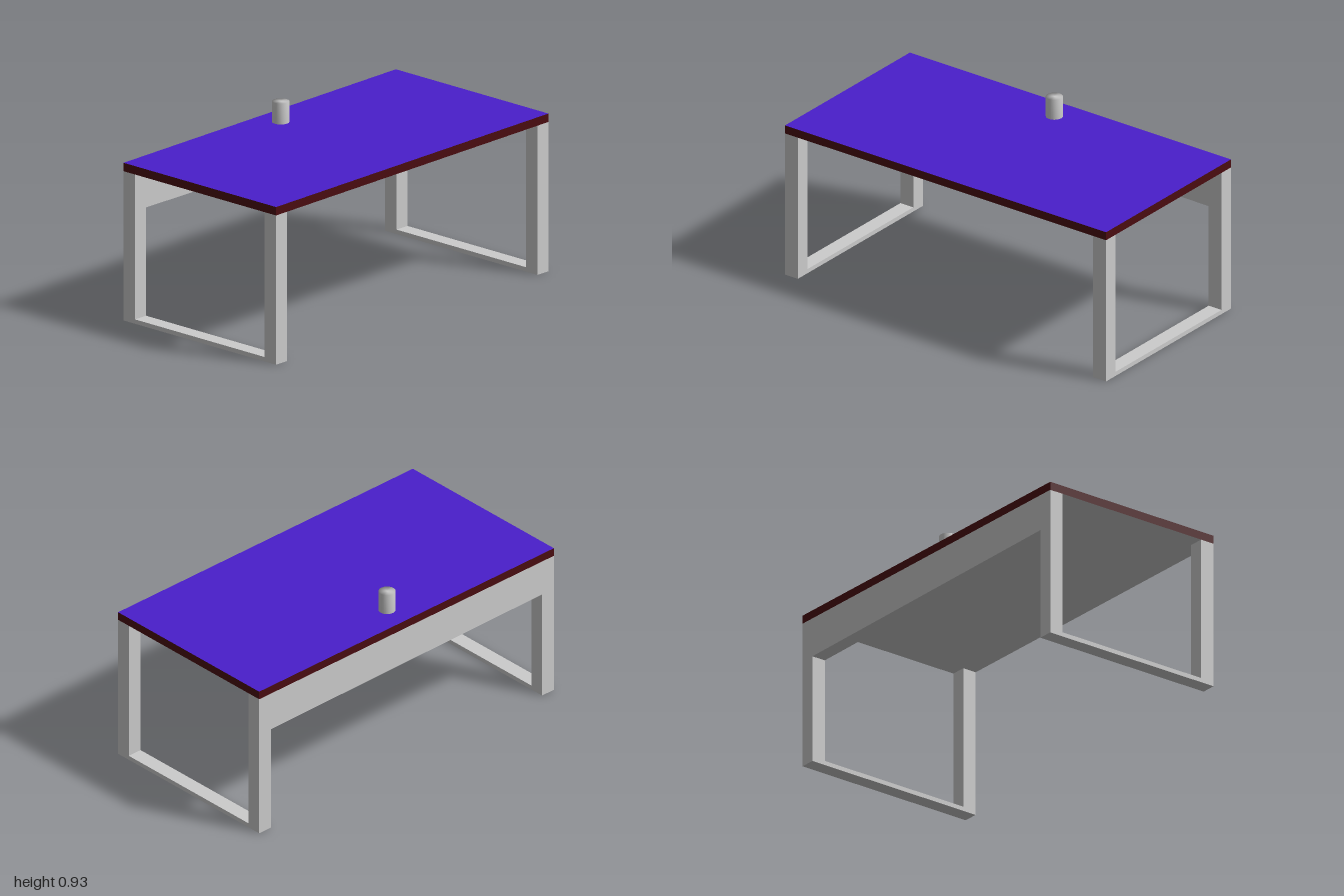
import * as THREE from 'three';
import { mergeVertices } from 'three/addons/utils/BufferGeometryUtils.js';

const HALF_W = 0.515, HALF_L = 1, LEG = 0.08;
const TOP_Y = 0.826, UNDER_Y = 0.782;

const grey = new THREE.MeshStandardMaterial({ color: 0xcccccc });
const red = new THREE.MeshStandardMaterial({ color: 0x4a0c10 });
const blue = new THREE.MeshStandardMaterial({ color: 0x4a1ecb });

// Box given by its minimum and maximum corners
function box(name, min, max, material = grey) {
  const size = max.map((v, i) => v - min[i]);
  const geometry = new THREE.BoxGeometry(...size);
  geometry.translate(...max.map((v, i) => (v + min[i]) / 2));
  const mesh = new THREE.Mesh(geometry, material);
  mesh.name = name;
  return mesh;
}

export function createModel() {
  const model = new THREE.Group();
  model.name = 'table';

  // Tabletop: red edges, blue upper face, grey underside
  model.add(box('tabletop', [-HALF_W, UNDER_Y, -HALF_L], [HALF_W, TOP_Y, HALF_L],
    [red, red, blue, grey, red, red]));

  // A leg frame at each end: two posts joined by a thin floor bar
  for (const end of [1, -1]) {
    const frame = new THREE.Group();
    frame.name = end > 0 ? 'frontLegFrame' : 'backLegFrame';
    const z0 = end > 0 ? HALF_L - LEG : -HALF_L;
    const z1 = z0 + LEG;
    const inner = HALF_W - LEG + 0.002;
    frame.add(
      box('leftLeg', [inner, 0, z0], [HALF_W, UNDER_Y, z1]),
      box('rightLeg', [-HALF_W, 0, z0], [-inner, UNDER_Y, z1]),
      box('floorBar', [-inner, 0, z0], [inner, 0.023, z1]),
    );
    model.add(frame);
  }

  // Side panel under the top, its lower edge sloping slightly to the back
  const panel = box('sidePanel', [-HALF_W, 0.59, -HALF_L + LEG],
    [-HALF_W + LEG - 0.002, UNDER_Y, HALF_L - LEG]);
  const p = panel.geometry.attributes.position;
  for (let i = 0; i < p.count; i++) {
    if (p.getY(i) < 0.6 && p.getZ(i) < 0) p.setY(i, 0.574);
  }
  panel.geometry.computeVertexNormals();
  model.add(panel);

  // Round post through the top, shaded smoothly over its rims
  let post = new THREE.CylinderGeometry(0.043, 0.043, 0.217, 32);
  post.deleteAttribute('normal');
  post.deleteAttribute('uv');
  post = mergeVertices(post);
  post.computeVertexNormals();
  const postMesh = new THREE.Mesh(post, grey);
  postMesh.name = 'post';
  postMesh.position.set(-0.377, 0.826, -0.004);
  model.add(postMesh);

  return model;
}
